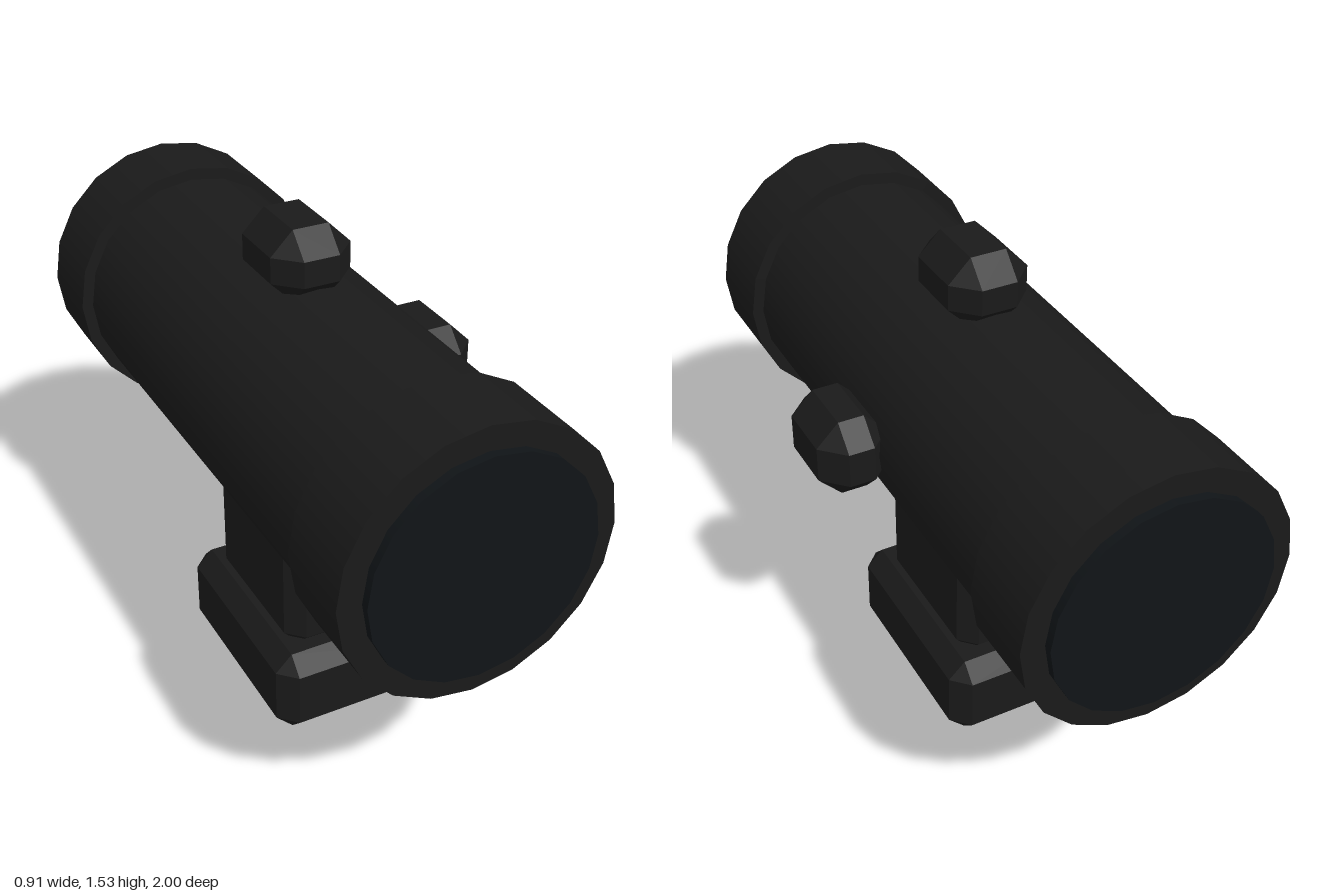
import * as THREE from 'three';
import { ConvexGeometry } from 'three/addons/geometries/ConvexGeometry.js';

const AXIS_X = -0.067, AXIS_Y = 1.01;
const body = new THREE.MeshStandardMaterial({ color: 0x1a1a1a });
const glass = new THREE.MeshStandardMaterial({ color: 0x101417 });

// Box with every edge cut at 45 degrees, given by its centre and full size
function chamferBox(name, [x, y, z], [w, h, d], c) {
  const points = [];
  for (const sx of [-1, 1]) for (const sy of [-1, 1]) for (const sz of [-1, 1]) {
    for (const face of [0, 1, 2]) {
      const inset = [c, c, c];
      inset[face] = 0;
      points.push(new THREE.Vector3(
        sx * (w / 2 - inset[0]), sy * (h / 2 - inset[1]), sz * (d / 2 - inset[2])));
    }
  }
  const mesh = new THREE.Mesh(new ConvexGeometry(points), body);
  mesh.name = name;
  mesh.position.set(x, y, z);
  return mesh;
}

// 20-sided cylinder lying along z on the tube axis
function barrel(name, radius, z0, z1, material = body) {
  const geometry = new THREE.CylinderGeometry(radius, radius, z1 - z0, 20).rotateX(Math.PI / 2);
  const mesh = new THREE.Mesh(geometry, material);
  mesh.name = name;
  mesh.position.set(AXIS_X, AXIS_Y, (z0 + z1) / 2);
  return mesh;
}

export function createModel() {
  const model = new THREE.Group();
  model.name = 'scopeSight';

  // Main tube, with a collar and a lens at each end
  model.add(barrel('tube', 0.355, -0.9, 0.9));
  model.add(barrel('frontCollar', 0.39, 0.73, 0.975));
  model.add(barrel('rearCollar', 0.39, -0.975, -0.73));
  model.add(barrel('frontLens', 0.322, 0.9, 1, glass));
  model.add(barrel('rearLens', 0.322, -1, -0.9, glass));

  // Adjustment knobs on top and on the left
  model.add(chamferBox('topKnob', [AXIS_X, 1.425, 0], [0.24, 0.21, 0.31], 0.067));
  model.add(chamferBox('sideKnob', [0.348, AXIS_Y, 0], [0.21, 0.24, 0.31], 0.067));

  // Mount
  model.add(chamferBox('mountStem', [AXIS_X, 0.453, 0], [0.31, 0.415, 0.52], 0.05));
  model.add(chamferBox('mountBase', [AXIS_X, 0.14, 0], [0.447, 0.28, 0.69], 0.053));

  return model;
}
